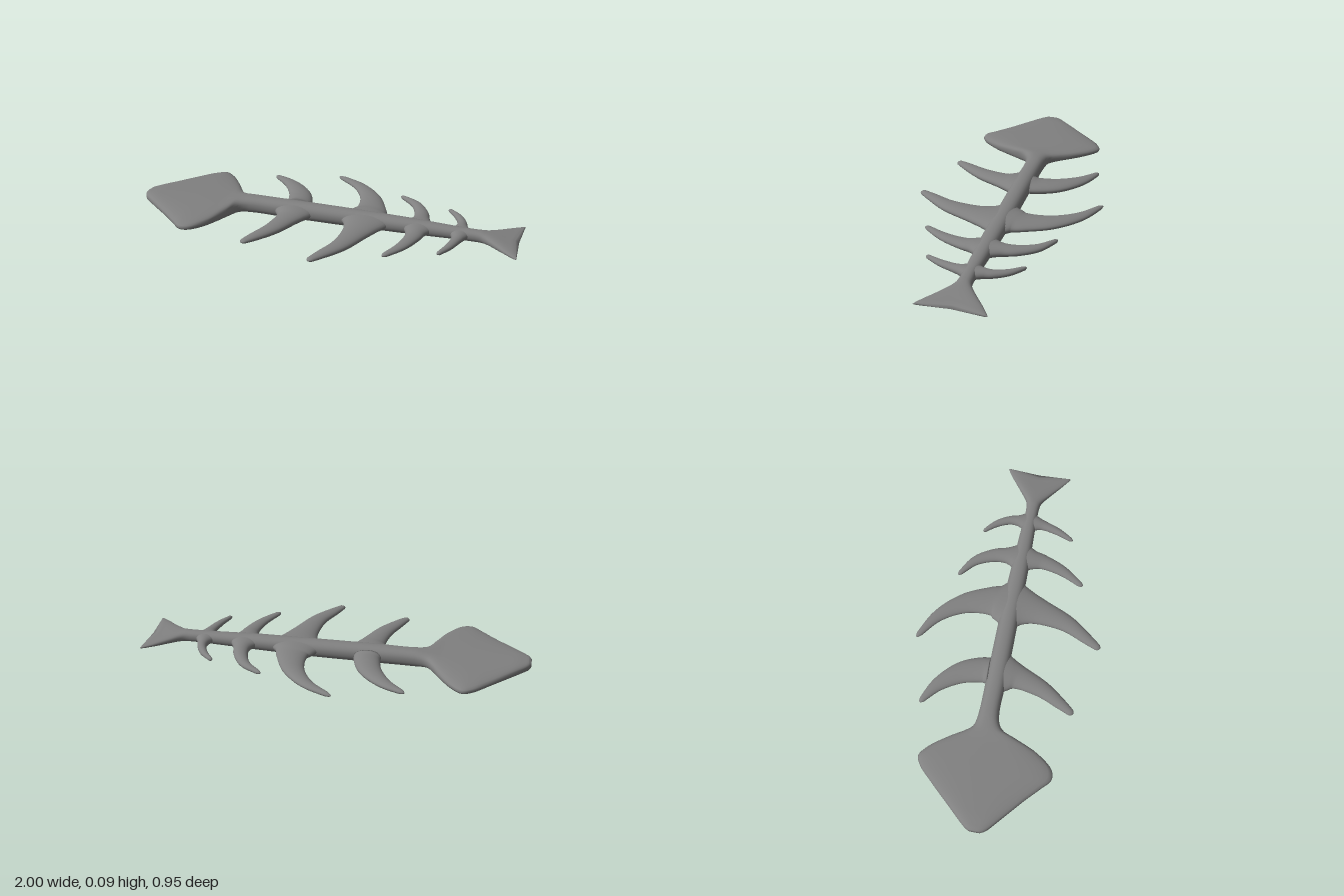
import * as THREE from 'three';

const SIDES = 28;
const material = new THREE.MeshStandardMaterial({ color: 0x808080, side: THREE.DoubleSide });

// Closed smooth skin through a row of rings, with a pole at each end
function skin(name, rings) {
  const n = SIDES, pos = [], idx = [];
  rings.forEach(r => r.forEach(p => pos.push(p.x, p.y, p.z)));
  for (let i = 0; i < rings.length - 1; i++) {
    for (let j = 0; j < n; j++) {
      const k = (j + 1) % n;
      const a = i * n + j, b = i * n + k, c = a + n, d = b + n;
      idx.push(a, b, c, b, d, c);
    }
  }
  const cap = (row, flip) => {
    const mid = new THREE.Vector3();
    rings[row].forEach(p => mid.addScaledVector(p, 1 / n));
    const pole = pos.length / 3;
    pos.push(mid.x, mid.y, mid.z);
    for (let j = 0; j < n; j++) {
      const a = row * n + j, b = row * n + (j + 1) % n;
      idx.push(pole, flip ? b : a, flip ? a : b);
    }
  };
  cap(0, true);
  cap(rings.length - 1, false);
  const g = new THREE.BufferGeometry();
  g.setAttribute('position', new THREE.Float32BufferAttribute(pos, 3));
  g.setIndex(idx);
  g.computeVertexNormals();
  const mesh = new THREE.Mesh(g, material);
  mesh.name = name;
  return mesh;
}

// Unit superellipse: power 2 is round, higher is flatter with rounded edges
function section(power) {
  const sp = v => Math.sign(v) * Math.pow(Math.abs(v), 2 / power);
  return Array.from({ length: SIDES }, (_, j) => {
    const a = j / SIDES * Math.PI * 2;
    return [sp(Math.cos(a)), sp(Math.sin(a))];
  });
}

// Linear lookup in rows of [x, ...values]
function lookup(table, x) {
  let i = 1;
  while (i < table.length - 1 && table[i][0] < x) i++;
  const a = table[i - 1], b = table[i];
  const t = THREE.MathUtils.clamp((x - a[0]) / (b[0] - a[0]), 0, 1);
  return a.slice(1).map((v, k) => v + (b[k + 1] - v) * t);
}

// Top outline along x: [x, back z, front z]
const outline = [
  [-1, -0.005, 0.055], [-0.985, -0.03, 0.08], [-0.9, -0.125, 0.155], [-0.8, -0.235, 0.24],
  [-0.73, -0.305, 0.305], [-0.68, -0.325, 0.347], [-0.63, -0.29, 0.34], [-0.56, -0.2, 0.255],
  [-0.51, -0.12, 0.14], [-0.475, -0.085, 0.06], [-0.42, -0.075, 0.032], [-0.2, -0.073, 0.03],
  [0.1, -0.073, 0.027], [0.4, -0.068, 0.025], [0.6, -0.06, 0.018], [0.77, -0.055, 0.014],
  [0.81, -0.063, 0.02], [0.87, -0.105, 0.06], [0.94, -0.16, 0.115], [0.985, -0.19, 0.147], [0.995, -0.195, 0.152],
];

// Underside, top and section power along x
const heights = [
  [-1, 0.033, 0.063, 2.6], [-0.985, 0.024, 0.072, 2.7], [-0.93, 0.019, 0.078, 2.7], [-0.55, 0.015, 0.083, 2.7],
  [-0.42, 0.005, 0.092, 2.4], [-0.2, 0.001, 0.094, 2.2], [0.1, 0.001, 0.091, 2.2], [0.4, 0.007, 0.086, 2.2],
  [0.65, 0.013, 0.077, 2.2], [0.8, 0.015, 0.073, 2.3], [0.9, 0.017, 0.06, 2.6], [0.98, 0.023, 0.05, 2.6], [1, 0.03, 0.044, 2.6],
];

function body() {
  const curve = new THREE.CatmullRomCurve3(outline.map(p => new THREE.Vector3(...p)), false, 'centripetal');
  const rings = [];
  for (let i = 0; i <= 100; i++) {
    const { x, y: back, z: front } = curve.getPoint(i / 100);
    const [low, high, power] = lookup(heights, x);
    // The tail's end edge is notched in the middle
    const notch = 0.028 * THREE.MathUtils.smoothstep(x, 0.85, 0.99);
    rings.push(section(power).map(([c, s]) => new THREE.Vector3(
      x - notch * (1 - Math.abs(c)),
      (low + high) / 2 + s * (high - low) / 2,
      (back + front) / 2 - c * (front - back) / 2)));
  }
  return skin('headSpineAndTail', rings);
}

// Curved rib: points [x, z, half width] from tip to spine, half height at the spine
function rib(name, points, baseHeight) {
  const curve = new THREE.CatmullRomCurve3(
    points.map(([x, z, w]) => new THREE.Vector3(x, w, z)), false, 'centripetal');
  const steps = 28, shape = section(2), rings = [];
  for (let i = 0; i <= steps; i++) {
    const t = Math.pow(i / steps, 1.3);
    const p = curve.getPoint(t), dir = curve.getTangent(t).setY(0).normalize();
    const round = Math.sqrt(Math.min(1, (t + 0.004) / 0.03)); // blunt rounded tip
    const w = p.y * round;
    const h = THREE.MathUtils.lerp(0.009, baseHeight, Math.pow(t, 0.8)) * round;
    const [low, high] = lookup(heights, p.x);
    const mid = THREE.MathUtils.lerp(0.046, (low + high) / 2, t);
    rings.push(shape.map(([c, s]) => new THREE.Vector3(p.x + dir.z * c * w, mid + s * h, p.z - dir.x * c * w)));
  }
  return skin(name, rings);
}

// The first back rib stops at the spine's edge, the others run into its middle
const ribs = [
  ['backRib1', 0.039, [[-0.41, -0.38, 0.012], [-0.3, -0.307, 0.036], [-0.215, -0.2, 0.058], [-0.182, -0.1, 0.068], [-0.18, -0.068, 0.07]]],
  ['frontRib1', 0.041, [[-0.325, 0.392, 0.016], [-0.285, 0.325, 0.029], [-0.225, 0.215, 0.045], [-0.185, 0.085, 0.066], [-0.18, 0.04, 0.09], [-0.18, -0.02, 0.13]]],
  ['backRib2', 0.04, [[-0.07, -0.475, 0.012], [0.07, -0.385, 0.033], [0.163, -0.26, 0.056], [0.2, -0.13, 0.082], [0.2, -0.085, 0.105], [0.2, -0.025, 0.16]]],
  ['frontRib2', 0.04, [[0.045, 0.468, 0.016], [0.09, 0.39, 0.03], [0.15, 0.28, 0.046], [0.19, 0.125, 0.073], [0.2, 0.045, 0.105], [0.2, -0.02, 0.16]]],
  ['backRib3', 0.034, [[0.315, -0.335, 0.01], [0.412, -0.26, 0.026], [0.462, -0.165, 0.037], [0.474, -0.095, 0.048], [0.475, -0.025, 0.095]]],
  ['frontRib3', 0.034, [[0.375, 0.322, 0.013], [0.442, 0.2, 0.029], [0.473, 0.09, 0.042], [0.475, 0.04, 0.055], [0.475, -0.02, 0.095]]],
  ['backRib4', 0.028, [[0.59, -0.255, 0.009], [0.65, -0.19, 0.019], [0.682, -0.125, 0.024], [0.688, -0.08, 0.032], [0.69, -0.025, 0.065]]],
  ['frontRib4', 0.028, [[0.625, 0.225, 0.01], [0.663, 0.14, 0.02], [0.685, 0.06, 0.027], [0.689, 0.028, 0.036], [0.69, -0.02, 0.065]]],
];

export function createModel() {
  const model = new THREE.Group();
  model.name = 'fishSkeleton';
  model.add(body());
  ribs.forEach(([name, height, points]) => model.add(rib(name, points, height)));
  return model;
}
